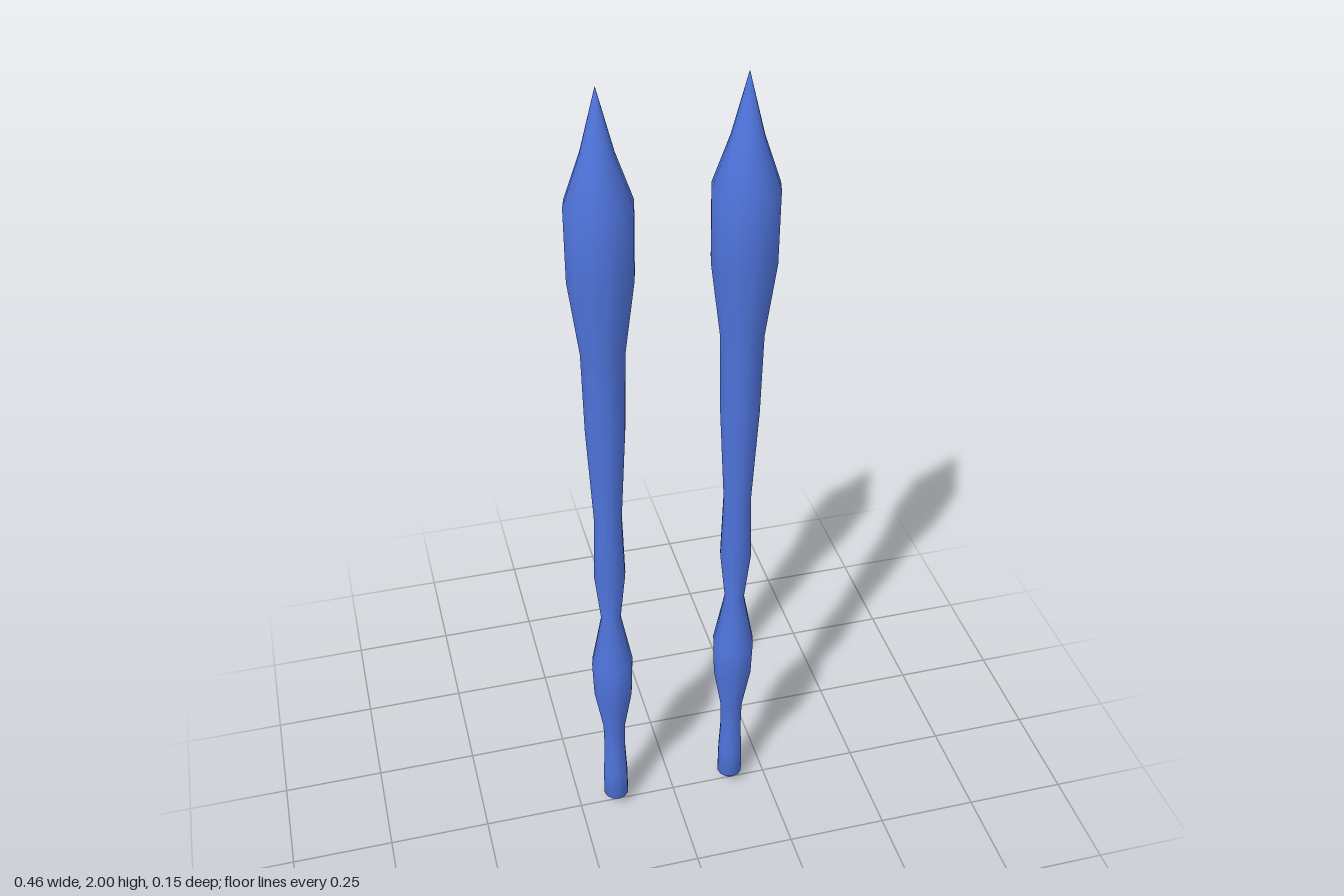
import * as THREE from 'three';

// Radius and height pairs, from the bottom point to the top point
const PROFILE = [
  [0, 0], [0.032, 0.035], [0.031, 0.12], [0.027, 0.2], [0.028, 0.28],
  [0.048, 0.4], [0.051, 0.5], [0.024, 0.645], [0.038, 0.78], [0.033, 0.95],
  [0.046, 1.2], [0.05, 1.4], [0.073, 1.58], [0.074, 1.75], [0.036, 1.86], [0, 2],
];

export function createModel() {
  const group = new THREE.Group();
  group.name = 'pairOfSpikes';
  const material = new THREE.MeshStandardMaterial({ color: 0x4f74dc });

  // One turned, twelve-sided spike shared by both sides
  const points = PROFILE.map(([r, y]) => new THREE.Vector2(r, y));
  const geometry = new THREE.LatheGeometry(points, 12);

  for (const [name, side] of [['leftSpike', 1], ['rightSpike', -1]]) {
    const spike = new THREE.Mesh(geometry, material);
    spike.name = name;
    spike.position.x = side * 0.155;
    group.add(spike);
  }
  return group;
}
